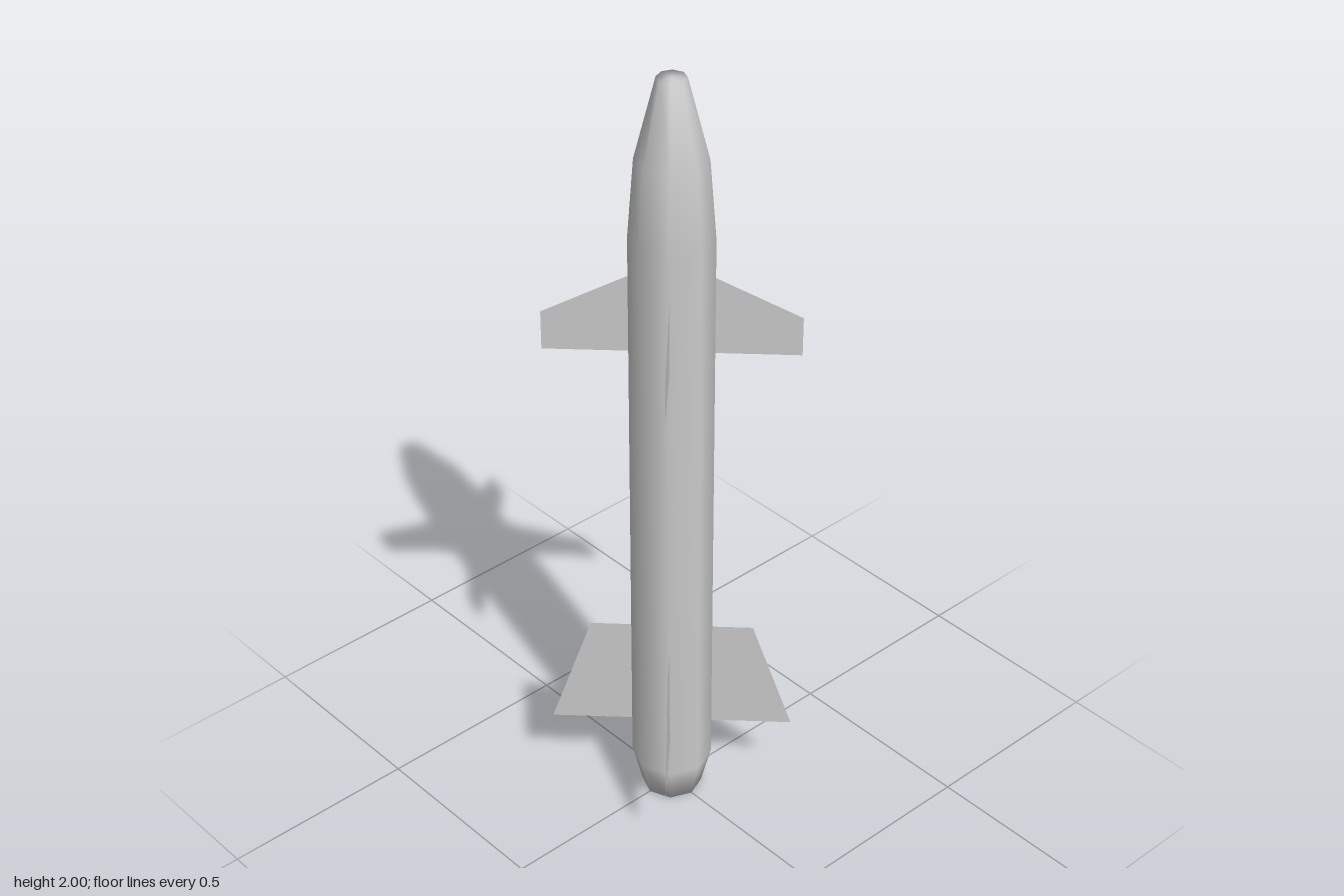
import * as THREE from 'three';

export function createModel() {
  const model = new THREE.Group();
  model.name = 'missile';
  const bodyMaterial = new THREE.MeshStandardMaterial({ color: 0xcccccc });
  const finMaterial = new THREE.MeshStandardMaterial({ color: 0xcccccc, side: THREE.DoubleSide });

  // Eight-sided body, tail taper and nose in one closed profile: [radius, height]
  const profile = [
    [0, 0], [0.075, 0], [0.1, 0.1], [0.1, 1.6], [0.085, 1.8], [0.035, 2], [0, 2],
  ].map(([r, y]) => new THREE.Vector2(r, y));
  const body = new THREE.Mesh(new THREE.LatheGeometry(profile, 8), bodyMaterial);
  body.name = 'body';
  model.add(body);

  // Four thin fins on the diagonals; outline given as [radius, height]
  function addFins(name, outline) {
    const shape = new THREE.Shape(outline.map(([r, y]) => new THREE.Vector2(r, y)));
    const geometry = new THREE.ShapeGeometry(shape);
    const set = new THREE.Group();
    set.name = name + 's';
    for (let i = 0; i < 4; i++) {
      const fin = new THREE.Mesh(geometry, finMaterial);
      fin.name = name;
      fin.rotation.y = Math.PI / 4 + i * Math.PI / 2;
      set.add(fin);
    }
    model.add(set);
  }

  addFins('foreFin', [[0.1, 1.3], [0.3, 1.3], [0.3, 1.4], [0.1, 1.5]]);
  addFins('tailFin', [[0.1, 0.2], [0.3, 0.2], [0.2, 0.5], [0.1, 0.5]]);

  return model;
}
